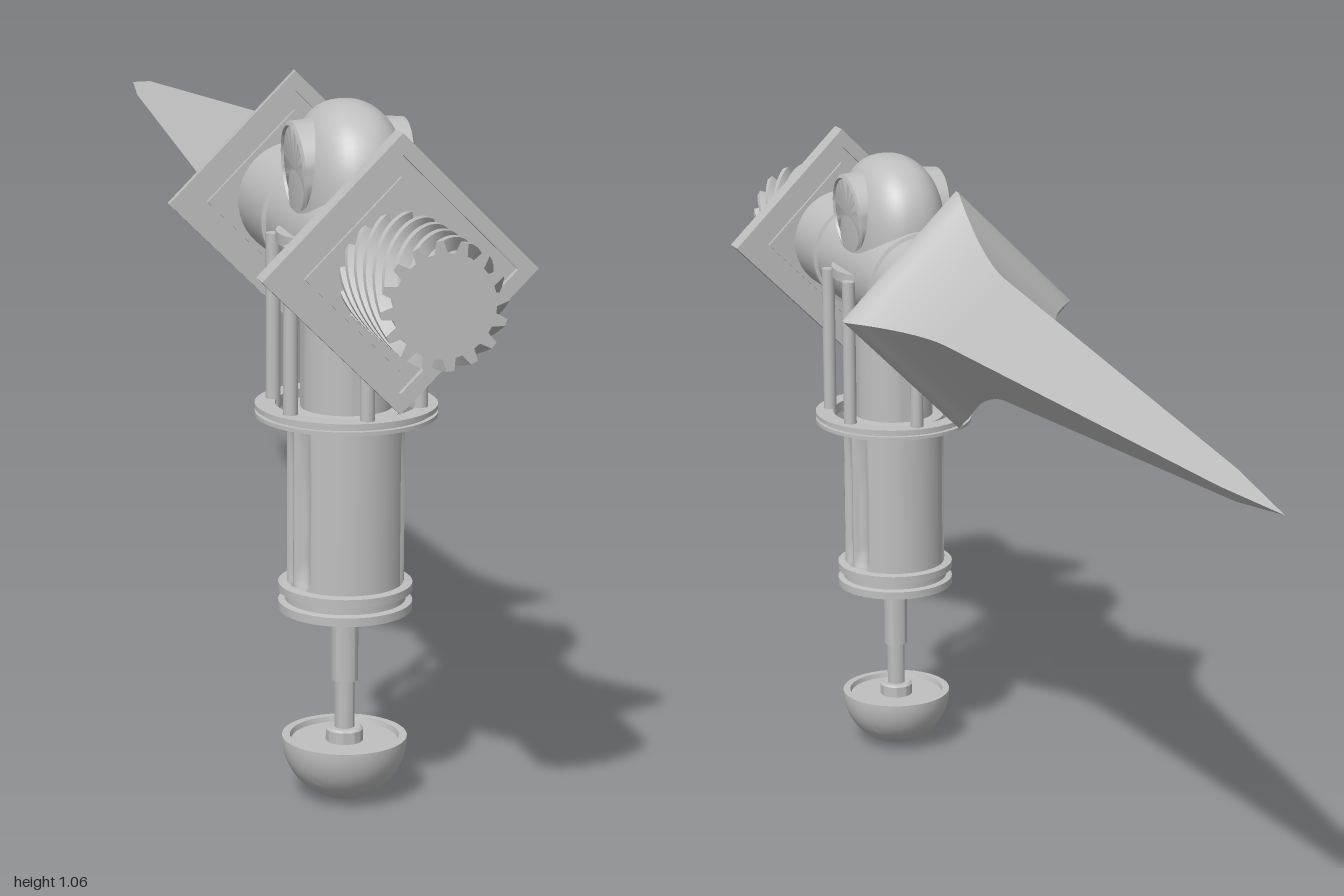
import * as THREE from 'three';
import { toCreasedNormals } from 'three/addons/utils/BufferGeometryUtils.js';

const AXIS_Y = 0.86; // height of the horizontal shaft
const POST_Z = 0.51; // depth of the upright handle

export function createModel() {
  const group = new THREE.Group();
  const steel = new THREE.MeshStandardMaterial({ color: 0xbfbfbf });
  steel.name = 'grey steel';

  const add = (name, geometry, x = 0, y = 0, z = 0) => {
    const mesh = new THREE.Mesh(geometry, steel);
    mesh.name = name;
    mesh.position.set(x, y, z);
    group.add(mesh);
    return mesh;
  };
  // Turned part; profile runs from the lower end to the upper end as [radius, height]
  const turn = (profile, sides = 48) =>
    toCreasedNormals(new THREE.LatheGeometry(profile.map(([r, h]) => new THREE.Vector2(r, h)), sides), 0.6);
  const upright = (name, profile) => add(name, turn(profile), 0, 0, POST_Z);
  const along = (name, profile, sides) => add(name, turn(profile, sides).rotateX(Math.PI / 2), 0, AXIS_Y, 0);

  // Four-sided spike with a flared base and a stepped back face
  const flare = [];
  for (let i = 0; i <= 10; i++) {
    const t = i / 10;
    flare.push([0.1 + 0.098 * (0.25 * t + 0.75 * t * t), 0.195 * t]);
  }
  along('spike', [
    [0, -1], [0.024, -0.85], ...flare, [0.198, 0.207],
    [0.168, 0.207], [0.168, 0.197], [0.137, 0.197], [0.137, 0.203], [0, 0.203],
  ], 4);

  // Diamond guard plate, stepped on both faces
  along('guardPlate', [
    [0, 0.765], [0.137, 0.765], [0.137, 0.77], [0.168, 0.77], [0.168, 0.76], [0.198, 0.76],
    [0.198, 0.795], [0.168, 0.795], [0.168, 0.786], [0.137, 0.786], [0.137, 0.791], [0, 0.791],
  ], 4);

  // Shaft with a collar on each side of the joint
  along('shaft', [[0, 0.2], [0.089, 0.2], [0.089, 0.77], [0, 0.77]]);
  for (const z of [0.37, 0.65]) {
    along('shaftCollar', [[0.085, z - 0.008], [0.095, z - 0.005], [0.095, z + 0.005], [0.085, z + 0.008]]);
  }

  // Twisted toothed hammer head
  const teeth = 16;
  const star = new THREE.Shape();
  for (let i = 0; i < teeth; i++) {
    [[0, 0.072], [0.35, 0.072], [0.55, 0.089], [0.85, 0.089]].forEach(([f, r], k) => {
      const a = ((i + f) / teeth) * Math.PI * 2;
      star[i + k === 0 ? 'moveTo' : 'lineTo'](r * Math.cos(a), r * Math.sin(a));
    });
  }
  star.closePath();
  const head = new THREE.ExtrudeGeometry(star, { depth: 0.21, steps: 20, bevelEnabled: false });
  const hp = head.attributes.position;
  for (let i = 0; i < hp.count; i++) {
    const a = hp.getZ(i) * 8.5, c = Math.cos(a), s = Math.sin(a), x = hp.getX(i), y = hp.getY(i);
    hp.setXY(i, x * c - y * s, x * s + y * c);
  }
  add('twistedHead', toCreasedNormals(head, 0.5), 0, AXIS_Y, 0.79);

  // Domed joint: rounded block, fuller than an ellipsoid
  const dome = new THREE.SphereGeometry(1, 48, 32);
  const dp = dome.attributes.position;
  const fuller = (v) => Math.sign(v) * Math.pow(Math.abs(v), 0.85);
  for (let i = 0; i < dp.count; i++) {
    const y = dp.getY(i);
    dp.setXYZ(i, fuller(dp.getX(i)) * 0.08, fuller(y) * (y > 0 ? 0.13 : 0.16), fuller(dp.getZ(i)) * 0.126);
  }
  dome.computeVertexNormals();
  add('jointDome', dome, 0, 0.93, POST_Z);

  // Round caps on the sides of the joint
  for (const side of [-1, 1]) {
    const cap = add('jointCap', turn([[0, 0], [0.07, 0], [0.07, 0.034], [0.064, 0.038], [0.062, 0.034], [0, 0.034]]),
      side * 0.045, 0.965, POST_Z);
    cap.rotation.z = -side * (Math.PI / 2 + 0.08);
  }

  // Handle barrel with three flutes on each side
  const barrel = new THREE.CylinderGeometry(0.087, 0.087, 0.28, 144, 40, true);
  const bp = barrel.attributes.position;
  for (let i = 0; i < bp.count; i++) {
    const x = bp.getX(i), y = bp.getY(i), z = bp.getZ(i);
    const a = Math.asin(Math.max(-1, Math.min(1, z / 0.087)));
    const ends = Math.min(1, Math.max(0, (y + 0.125) / 0.03)) * Math.min(1, Math.max(0, (0.14 - y) / 0.12));
    let cut = 0;
    for (const c of [-0.46, 0, 0.46]) {
      const d = (a - c) / 0.19;
      if (Math.abs(d) < 1) cut = Math.sqrt(1 - d * d) * Math.sqrt(ends) * 0.012;
    }
    const k = 1 - cut / 0.087;
    bp.setXYZ(i, x * k, y, z * k);
  }
  barrel.computeVertexNormals();
  add('barrel', barrel, 0, 0.465, POST_Z);
  upright('upperBarrel', [[0.087, 0.6], [0.087, 0.605], [0.068, 0.607], [0.068, 0.87]]);

  // Cage: lower double ring, upper flange and rods
  upright('cageRing', [
    [0.105, 0.594], [0.135, 0.594], [0.135, 0.6], [0.127, 0.6], [0.127, 0.605],
    [0.135, 0.605], [0.135, 0.612], [0.105, 0.612], [0.105, 0.594],
  ]);
  upright('cageFlange', [[0.06, 0.853], [0.104, 0.853], [0.104, 0.87], [0.06, 0.87]]);
  const rod = (x, z, top) =>
    add('cageRod', new THREE.CylinderGeometry(0.011, 0.011, top - 0.6, 16), x, (top + 0.6) / 2, POST_Z + z);
  for (const s of [-1, 1]) {
    rod(0, s * 0.115, 0.79);
    for (const t of [-1, 1]) rod(s * 0.098, t * 0.052, 0.86);
  }

  // Grooved collar closing the barrel
  upright('endCollar', [
    [0, 0.297], [0.1, 0.297], [0.1, 0.31], [0.09, 0.312], [0.09, 0.324],
    [0.1, 0.326], [0.1, 0.338], [0.085, 0.34],
  ]);

  // Stepped stem and nut
  upright('stem', [[0.015, 0.09], [0.015, 0.182], [0.02, 0.184], [0.02, 0.3]]);
  upright('stemNut', [[0, 0.085], [0.028, 0.085], [0.028, 0.107], [0.024, 0.11], [0.015, 0.11]]);

  // Half-round pommel with a shallow dished top
  const bowl = [];
  for (let i = 0; i <= 16; i++) {
    const a = (i / 16) * Math.PI / 2;
    bowl.push([0.094 * Math.sin(a), 0.094 * (1 - Math.cos(a))]);
  }
  upright('pommel', [...bowl, [0.094, 0.097], [0.082, 0.097], [0.08, 0.089], [0, 0.089]]);

  return group;
}
